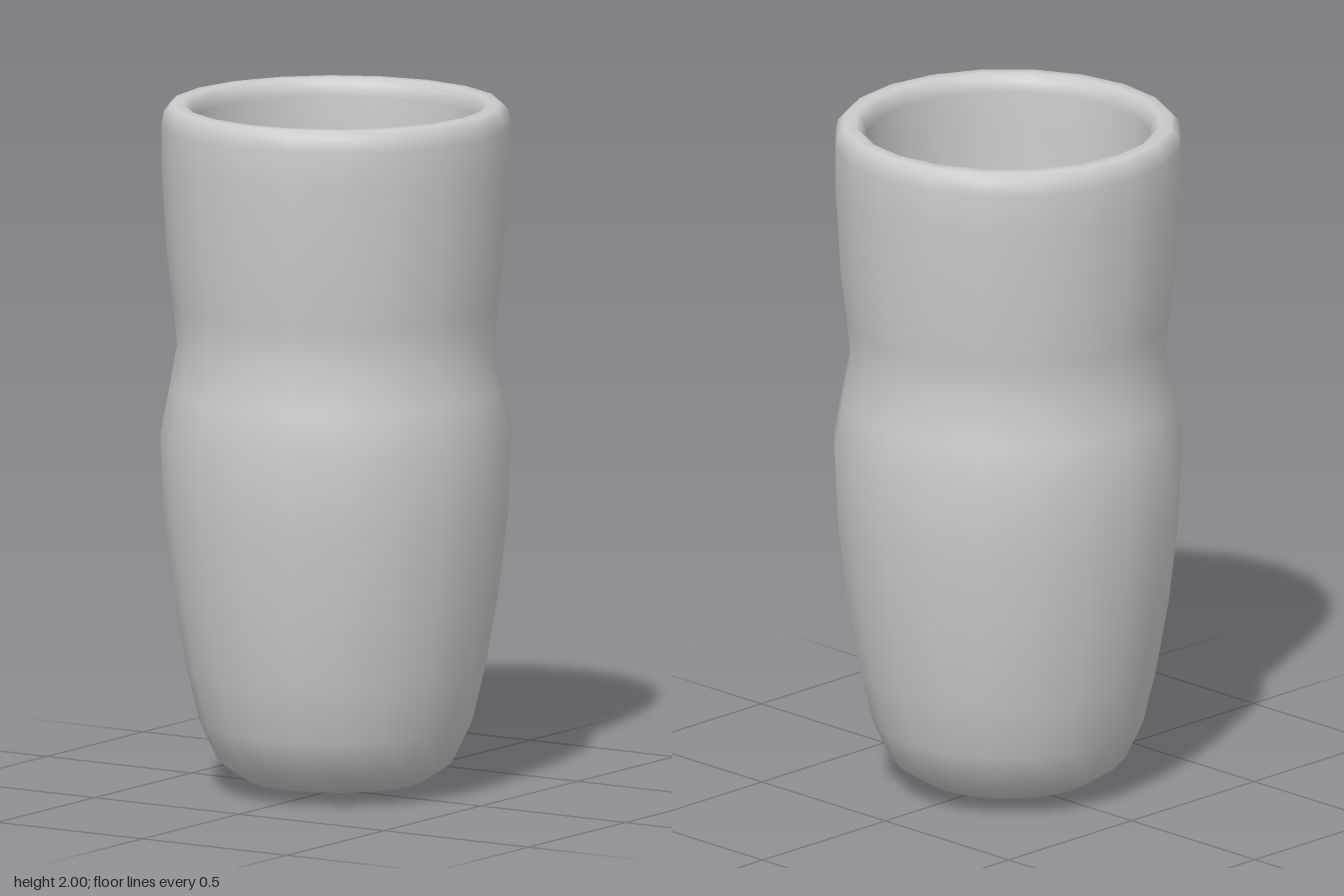
import * as THREE from 'three';

const SIDES = 20;

// Outer wall, from the base centre up to the rim: [radius, height]
const outer = [
  [0, 0], [0.14, 0.015], [0.26, 0.035], [0.34, 0.09], [0.392, 0.2], [0.43, 0.36],
  [0.467, 0.57], [0.495, 0.81], [0.505, 1.04], [0.48, 1.17], [0.457, 1.3],
  [0.467, 1.41], [0.487, 1.57], [0.502, 1.83], [0.502, 1.94], [0.495, 1.98],
];

// Rounded lip
const lip = [[0.475, 2], [0.44, 2], [0.42, 1.985], [0.412, 1.95]];

// Inner wall, from below the lip down to the bowl-shaped floor
const inner = [
  [0.412, 1.83], [0.405, 1.57], [0.393, 1.4], [0.39, 1.3], [0.403, 1.17], [0.418, 1.04],
  [0.41, 0.81], [0.385, 0.57], [0.35, 0.36], [0.3, 0.22], [0.22, 0.14], [0.11, 0.11], [0, 0.1],
];

export function createModel() {
  const group = new THREE.Group();
  group.name = 'cup';

  const profile = [...outer, ...lip, ...inner].map(([r, y]) => new THREE.Vector2(r, y));
  const body = new THREE.Mesh(
    new THREE.LatheGeometry(profile, SIDES),
    new THREE.MeshStandardMaterial({ color: 0xcccccc })
  );
  body.name = 'cupBody';
  group.add(body);

  return group;
}
